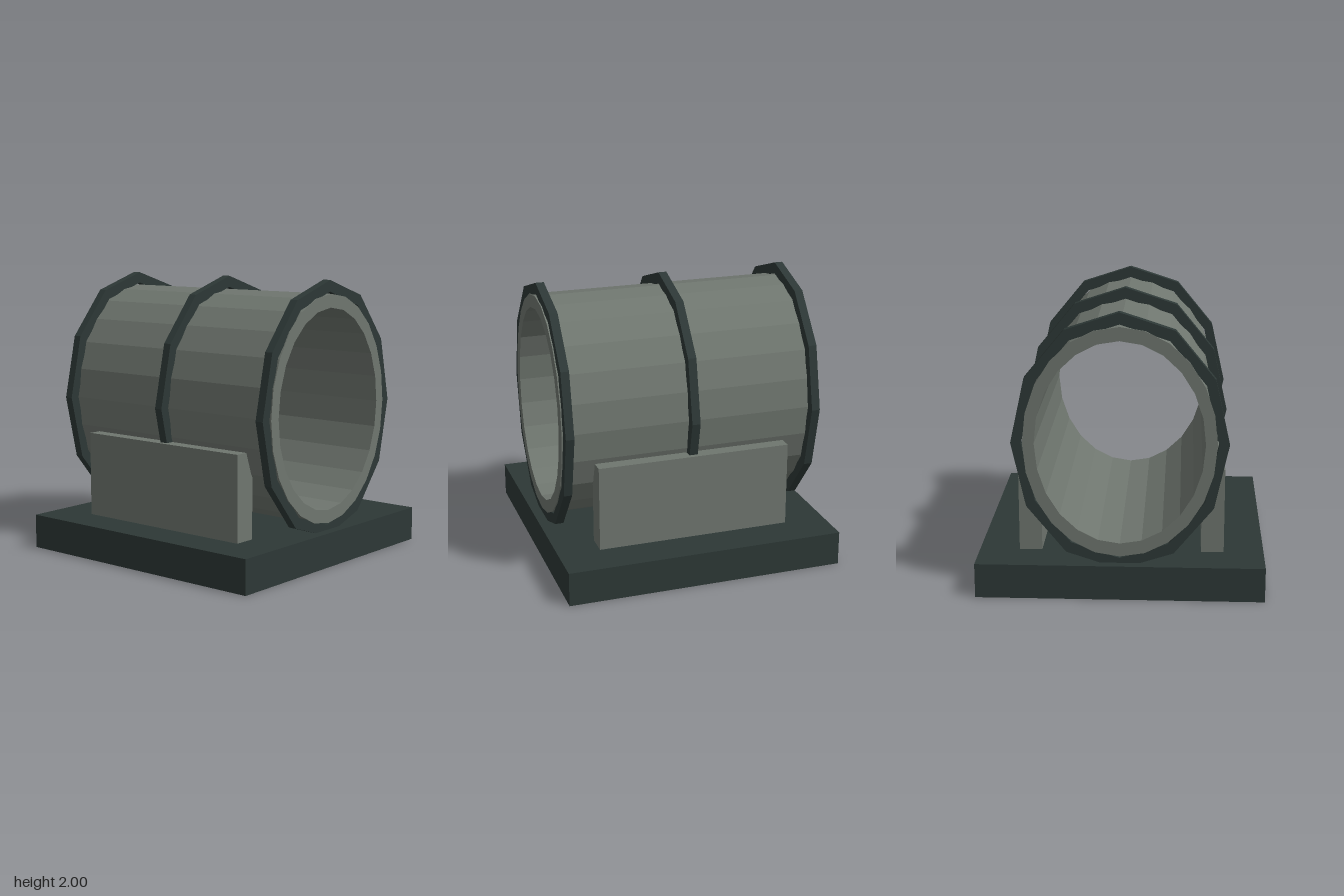
import * as THREE from 'three';

// Elliptical polygon with n sides and a vertex at the top
function ellipse(PathType, rx, ry, n) {
  const points = [];
  for (let i = 0; i < n; i++) {
    const a = (i / n) * Math.PI * 2;
    points.push(new THREE.Vector2(rx * Math.cos(a), ry * Math.sin(a)));
  }
  return new PathType().setFromPoints(points);
}

// Hollow faceted sleeve, centred on z = 0
function sleeve(outer, inner, sides, length) {
  const shape = ellipse(THREE.Shape, ...outer, sides);
  shape.holes.push(ellipse(THREE.Path, ...inner, sides));
  const geometry = new THREE.ExtrudeGeometry(shape, { depth: length, bevelEnabled: false });
  return geometry.translate(0, 0, -length / 2);
}

export function createModel() {
  const group = new THREE.Group();
  const stone = new THREE.MeshStandardMaterial({ name: 'grey', color: 0x6f766f, flatShading: true });
  const iron = new THREE.MeshStandardMaterial({ name: 'dark slate', color: 0x2d3836, flatShading: true });

  function add(name, geometry, material, x, y, z) {
    const mesh = new THREE.Mesh(geometry, material);
    mesh.name = name;
    mesh.position.set(x, y, z);
    group.add(mesh);
  }

  // Square plinth
  add('base', new THREE.BoxGeometry(2, 0.245, 2), iron, 0, 0.1225, 0);

  // Open pipe lying along z
  const axisY = 1.1;
  add('pipe', sleeve([0.66, 0.805], [0.58, 0.71], 24, 1.876), stone, 0, axisY, 0);

  // Three clamping bands
  const band = sleeve([0.74, 0.9], [0.67, 0.82], 12, 0.06);
  ['backBand', 'middleBand', 'frontBand'].forEach((name, i) => add(name, band, iron, 0, axisY, (i - 1) * 0.9));

  // Cradle blocks on both sides
  const block = new THREE.BoxGeometry(0.16, 0.61, 1.4);
  add('leftCradle', block, stone, 0.64, 0.55, 0);
  add('rightCradle', block, stone, -0.64, 0.55, 0);

  return group;
}
